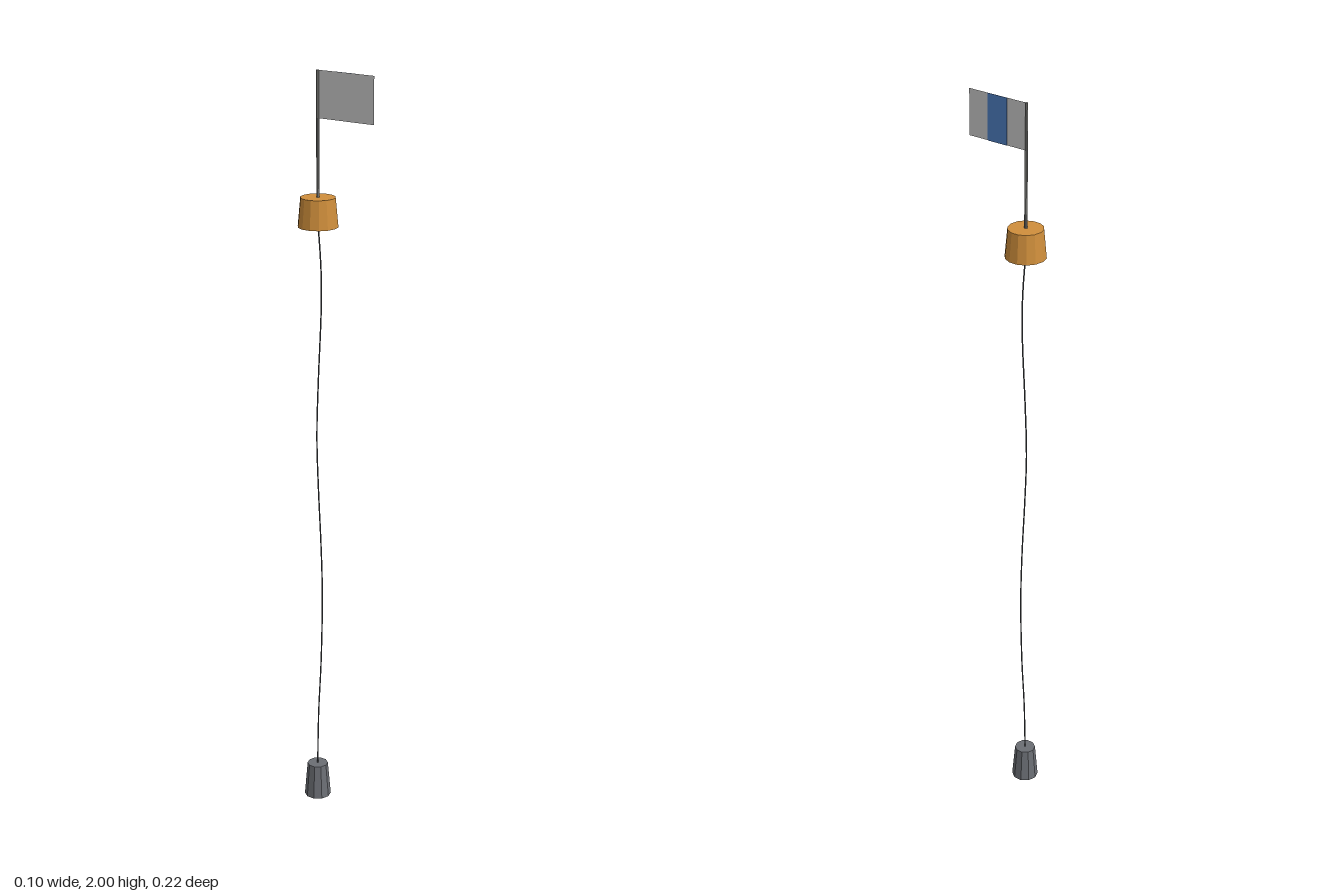
import * as THREE from 'three';

const mat = (color, extra = {}) => new THREE.MeshStandardMaterial({ color, ...extra });

function part(name, geometry, material, x, y, z) {
  const mesh = new THREE.Mesh(geometry, material);
  mesh.name = name;
  mesh.position.set(x, y, z);
  return mesh;
}

export function createModel() {
  const group = new THREE.Group();
  group.name = 'markerBuoy';
  const axisZ = -0.058;

  // Anchor weight on the ground
  group.add(part('anchorWeight', new THREE.CylinderGeometry(0.028, 0.036, 0.095, 10),
    mat(0x6b6e74, { flatShading: true }), -0.006, 0.0475, -0.061));

  // Slack rope drifting between weight and float: [x, y, z]
  const ropePath = new THREE.CatmullRomCurve3([
    [-0.006, 0.09, -0.061], [0.001, 0.25, -0.062], [0.006, 0.4, -0.057], [0.003, 0.6, -0.05],
    [-0.005, 0.75, -0.048], [-0.007, 0.9, -0.054], [-0.004, 1.05, -0.061], [0.003, 1.2, -0.061],
    [0.006, 1.4, -0.053], [0.004, 1.5, -0.052], [0, 1.62, axisZ],
  ].map((p) => new THREE.Vector3(...p)));
  group.add(part('rope', new THREE.TubeGeometry(ropePath, 40, 0.002, 5), mat(0x55585c), 0, 0, 0));

  // Tapered float
  group.add(part('float', new THREE.CylinderGeometry(0.045, 0.052, 0.075, 14),
    mat(0xd08f3c, { flatShading: true }), 0, 1.6475, axisZ));

  // Pole standing on the float
  group.add(part('pole', new THREE.CylinderGeometry(0.004, 0.004, 0.32, 8),
    mat(0x8a8a86, { flatShading: true }), 0, 1.84, axisZ));

  // Thin flag flying forward from the pole, with a stripe on one side
  const flag = part('flag', new THREE.PlaneGeometry(0.167, 0.118),
    mat(0xcccccc, { side: THREE.DoubleSide }), 0, 1.941, 0.0265);
  flag.rotation.y = Math.PI / 2;
  group.add(flag);
  group.add(part('flagStripe', new THREE.BoxGeometry(0.001, 0.118, 0.056),
    mat(0x4f7fc4), 0.001, 1.941, 0.0265));

  return group;
}
